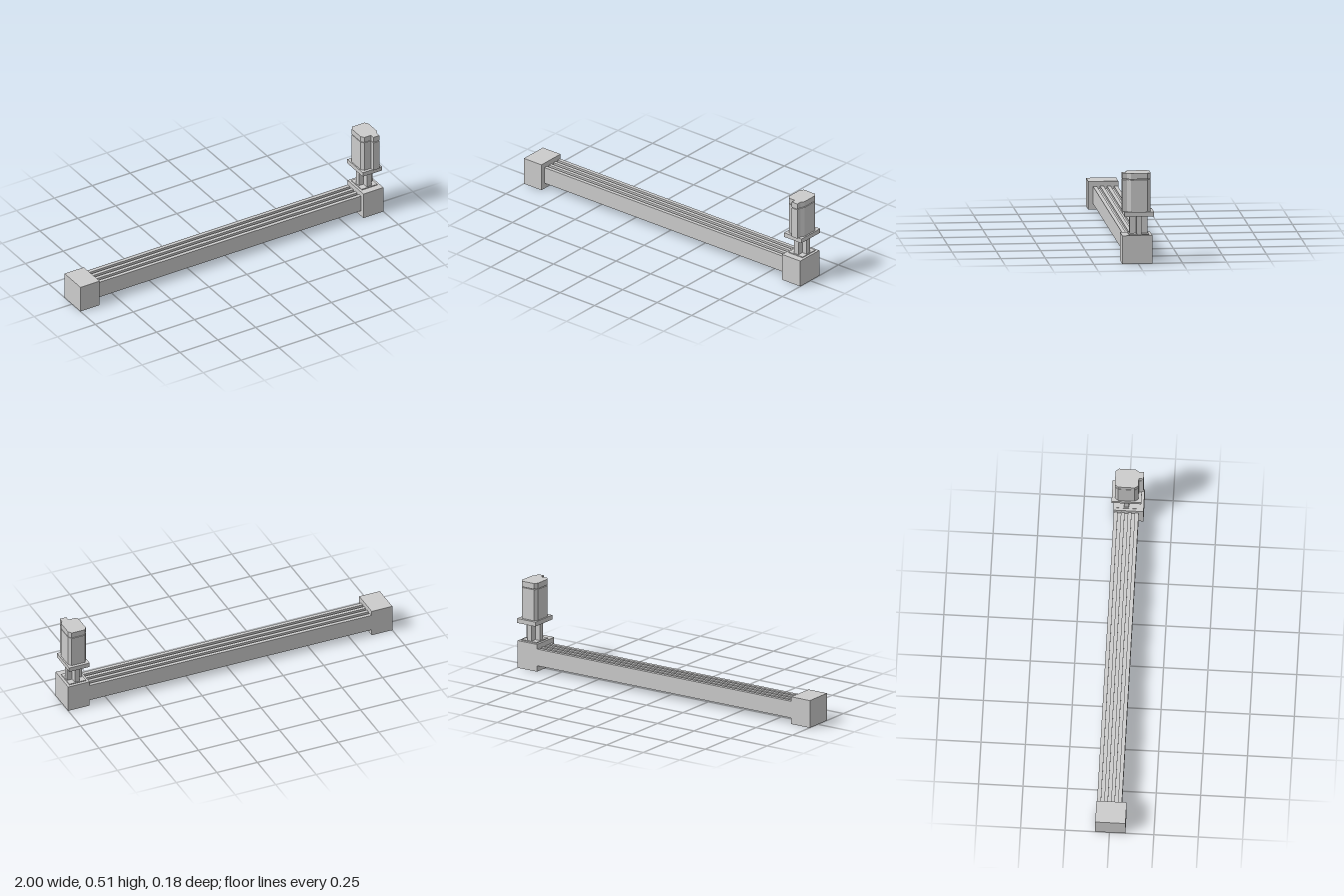
import * as THREE from 'three';

const material = new THREE.MeshStandardMaterial({ color: 0xcccccc, flatShading: true });

function add(group, name, geometry) {
  const mesh = new THREE.Mesh(geometry, material);
  mesh.name = name;
  group.add(mesh);
}

// Box given by its limits on each axis
function box(x0, x1, y0, y1, z0, z1) {
  return new THREE.BoxGeometry(x1 - x0, y1 - y0, z1 - z0)
    .translate((x0 + x1) / 2, (y0 + y1) / 2, (z0 + z1) / 2);
}

function outline(points) {
  return new THREE.Shape(points.map(([a, b]) => new THREE.Vector2(a, b)));
}

// Upright prism from an outline of [x, z] points
function prism(points, y0, y1) {
  return new THREE.ExtrudeGeometry(outline(points.map(([x, z]) => [x, -z])),
    { depth: y1 - y0, bevelEnabled: false }).rotateX(-Math.PI / 2).translate(0, y0, 0);
}

// Grooved rail section in (z, y): slots along the top and the bottom
function railGeometry(x0, x1) {
  const z0 = -0.077, z1 = 0.063, y0 = 0.034, y1 = 0.132;
  const half = 0.009, depth = 0.014;
  const slots = [-0.046, -0.007, 0.032];
  const points = [[z0, y0]];
  for (const s of slots) {
    points.push([s - half, y0], [s - half, y0 + depth], [s + half, y0 + depth], [s + half, y0]);
  }
  points.push([z1, y0], [z1, y1]);
  for (const s of [...slots].reverse()) {
    points.push([s + half, y1], [s + half, y1 - depth], [s - half, y1 - depth], [s - half, y1]);
  }
  points.push([z0, y1]);
  return new THREE.ExtrudeGeometry(outline(points.map(([z, y]) => [-z, y])),
    { depth: x1 - x0, bevelEnabled: false }).rotateY(Math.PI / 2).translate(x0, 0, 0);
}

export function createModel() {
  const model = new THREE.Group();
  model.name = 'linearActuator';

  // Rail between the two end blocks
  add(model, 'rail', railGeometry(-0.875, 0.87));
  add(model, 'idlerBlock', box(-1, -0.873, 0, 0.16, -0.08, 0.09));
  add(model, 'driveBlock', box(0.868, 1, 0, 0.16, -0.08, 0.09));

  const drive = new THREE.Group();
  drive.name = 'drive';
  model.add(drive);

  // Coupling: thin plate with a cross-shaped column
  const cx = 0.934, cz = -0.007, ax = 0.046, az = 0.051, t = 0.015;
  add(drive, 'couplingPlate', box(0.882, 0.985, 0.16, 0.165, -0.063, 0.05));
  add(drive, 'couplingColumn', prism([
    [-ax, -t], [-t, -t], [-t, -az], [t, -az], [t, -t], [ax, -t],
    [ax, t], [t, t], [t, az], [-t, az], [-t, t], [-ax, t],
  ].map(([x, z]) => [cx + x, cz + z]), 0.165, 0.267));
  add(drive, 'motorFlange', box(0.872, 0.998, 0.267, 0.293, -0.09, 0.077));

  // Motor: chamfered body with a connector ridge on the front
  const section = [
    [0.893, -0.073], [0.975, -0.073], [0.989, -0.053], [0.989, 0.04], [0.976, 0.06],
    [0.976, 0.087], [0.936, 0.087], [0.936, 0.06], [0.893, 0.06], [0.879, 0.04], [0.879, -0.053],
  ];
  add(drive, 'motorBody', prism(section, 0.293, 0.475));
  add(drive, 'motorSeam', box(0.89, 0.978, 0.475, 0.479, -0.06, 0.05));
  add(drive, 'motorCap', prism(section, 0.479, 0.512));

  return model;
}
